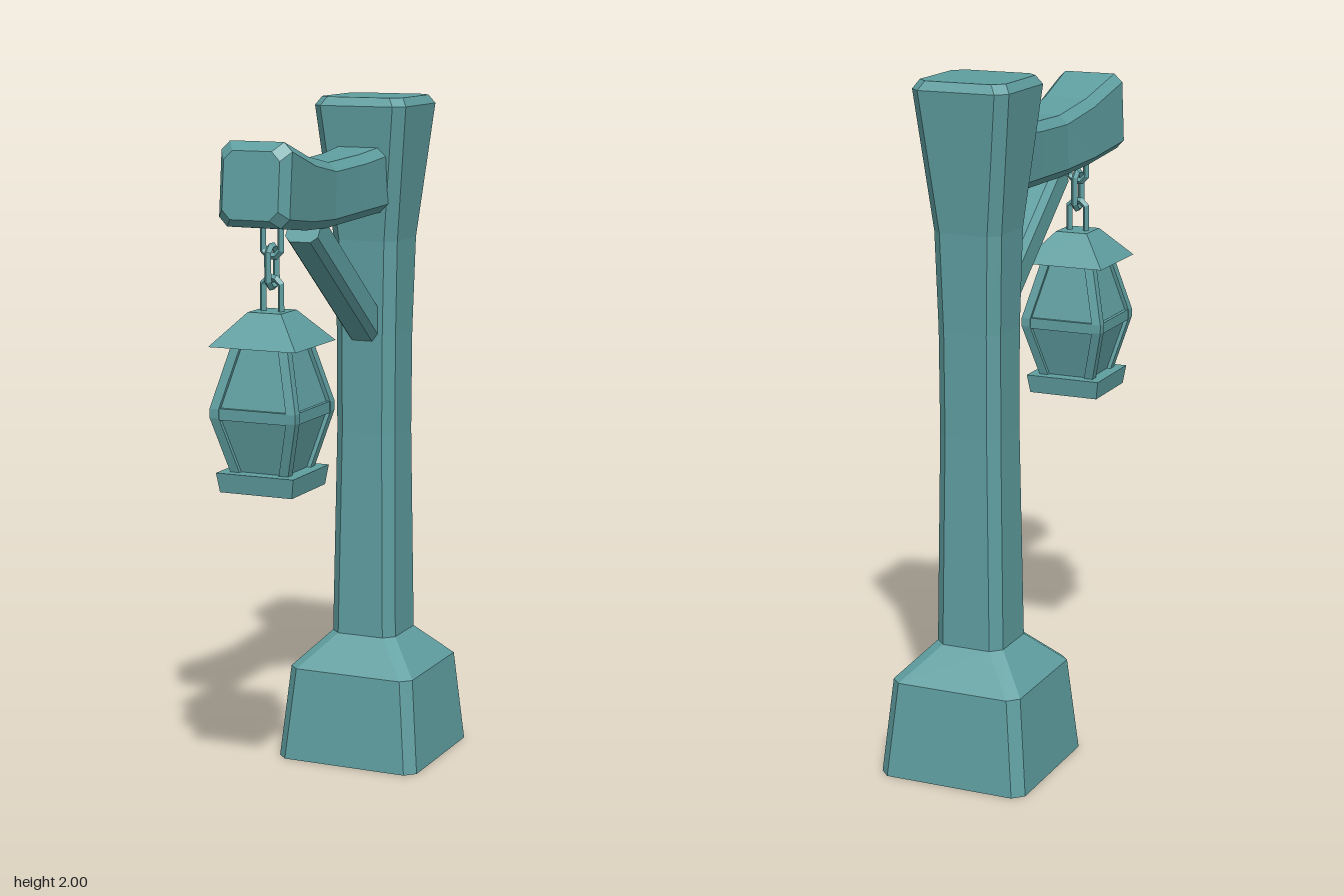
import * as THREE from 'three';

const material = new THREE.MeshStandardMaterial({ color: 0x5f9ea0, flatShading: true, side: THREE.DoubleSide });

// Cross-section in the xy plane at height z: a rectangle, with cut corners when c > 0
function section(z, hw, hh, c = 0, cx = 0, cy = 0) {
  const pts = c > 0
    ? [[hw, c - hh], [hw, hh - c], [hw - c, hh], [c - hw, hh], [-hw, hh - c], [-hw, c - hh], [c - hw, -hh], [hw - c, -hh]]
    : [[hw, -hh], [hw, hh], [-hw, hh], [-hw, -hh]];
  return pts.map(([x, y]) => new THREE.Vector3(cx + x, cy + y, z));
}

// Skin a row of sections along +z, with optional flat ends
function loft(rings, capStart = true, capEnd = true) {
  const pos = [];
  const tri = (...v) => v.forEach((p) => pos.push(p.x, p.y, p.z));
  const n = rings[0].length;
  for (let i = 0; i < rings.length - 1; i++) {
    for (let j = 0; j < n; j++) {
      const k = (j + 1) % n, a = rings[i], b = rings[i + 1];
      tri(a[j], a[k], b[k]);
      tri(a[j], b[k], b[j]);
    }
  }
  const last = rings[rings.length - 1];
  for (let j = 1; j < n - 1; j++) {
    if (capStart) tri(rings[0][0], rings[0][j + 1], rings[0][j]);
    if (capEnd) tri(last[0], last[j], last[j + 1]);
  }
  const geo = new THREE.BufferGeometry();
  geo.setAttribute('position', new THREE.Float32BufferAttribute(pos, 3));
  geo.computeVertexNormals();
  return geo;
}

// Square upright shape from [height, half width] pairs
function upright(profile, c = 0, capStart = true, capEnd = true) {
  return loft(profile.map(([y, a]) => section(y, a, a, c)), capStart, capEnd).rotateX(-Math.PI / 2);
}

function add(parent, name, geo) {
  const mesh = new THREE.Mesh(geo, material);
  mesh.name = name;
  parent.add(mesh);
  return mesh;
}

function buildLantern() {
  const lantern = new THREE.Group();
  lantern.name = 'lantern';
  const body = [[1.0, 0.085], [1.165, 0.129], [1.19, 0.129], [1.37, 0.082]];

  add(lantern, 'lanternBase', upright([[0.955, 0.109], [1.01, 0.117]]));
  add(lantern, 'lanternGlass', upright(body.map(([y, a]) => [y, a - 0.012])));
  add(lantern, 'lanternBand', upright([[1.16, 0.127], [1.192, 0.127]]));
  add(lantern, 'lanternRoof', upright([[1.36, 0.131], [1.45, 0.05]], 0, false, true));

  // Bent corner bars
  for (const sx of [-1, 1]) {
    for (const sy of [-1, 1]) {
      const rings = body.map(([y, a]) => section(y, 0.014, 0.014, 0, sx * (a - 0.014), sy * (a - 0.014)));
      add(lantern, 'lanternCornerBar', loft(rings).rotateX(-Math.PI / 2));
    }
  }

  // Chain of three stretched links, each turned a quarter from the last
  [1.485, 1.572, 1.655].forEach((y, i) => {
    const geo = new THREE.TorusGeometry(0.029, 0.0105, 4, 8).rotateZ(Math.PI / 8);
    const p = geo.attributes.position;
    for (let k = 0; k < p.count; k++) p.setY(k, p.getY(k) + Math.sign(p.getY(k)) * 0.028);
    geo.computeVertexNormals();
    const link = add(lantern, 'chainLink', geo);
    link.position.y = y;
    link.rotation.y = i % 2 ? Math.PI / 2 : 0;
  });
  return lantern;
}

export function createModel() {
  const model = new THREE.Group();
  model.name = 'lanternPost';

  // Everything is laid out around the post, then turned and moved as one
  const lamp = new THREE.Group();
  lamp.name = 'lampAssembly';
  lamp.position.set(-0.065, 0, -0.28);
  lamp.rotation.y = THREE.MathUtils.degToRad(20);
  model.add(lamp);

  // Hollow foot and flared post
  add(lamp, 'base', upright([[0, 0.226], [0.28, 0.199], [0.38, 0.103]], 0.03, false, false));
  add(lamp, 'post', upright(
    [[0.38, 0.103], [1.0, 0.094], [1.3, 0.095], [1.58, 0.102], [1.975, 0.144], [2.0, 0.128]], 0.03, false, true));

  // Sagging arm: distance from post, half width, bottom, top
  const armSections = [
    [0.04, 0.092, 1.67, 1.865],
    [0.25, 0.082, 1.662, 1.845],
    [0.45, 0.076, 1.655, 1.837],
    [0.62, 0.09, 1.665, 1.865],
    [0.81, 0.105, 1.688, 1.917],
    [0.84, 0.083, 1.71, 1.893],
  ];
  const arm = loft(armSections.map(([z, w, b, t]) => section(z, w, (t - b) / 2, 0.025, 0, (t + b) / 2)));
  const p = arm.attributes.position;
  for (let i = 0; i < p.count; i++) p.setZ(i, p.getZ(i) - 0.12 * (p.getY(i) - 1.8) * p.getZ(i));
  arm.computeVertexNormals();
  add(lamp, 'arm', arm);

  // Slanted brace between post and arm
  const brace = add(lamp, 'brace', loft([section(0, 0.05, 0.05, 0.018), section(0.62, 0.05, 0.05, 0.018)]));
  brace.position.set(0, 1.28, 0.01);
  brace.rotation.x = -Math.atan2(0.375, 0.485);

  const lantern = buildLantern();
  lantern.position.z = 0.71;
  lamp.add(lantern);

  return model;
}
